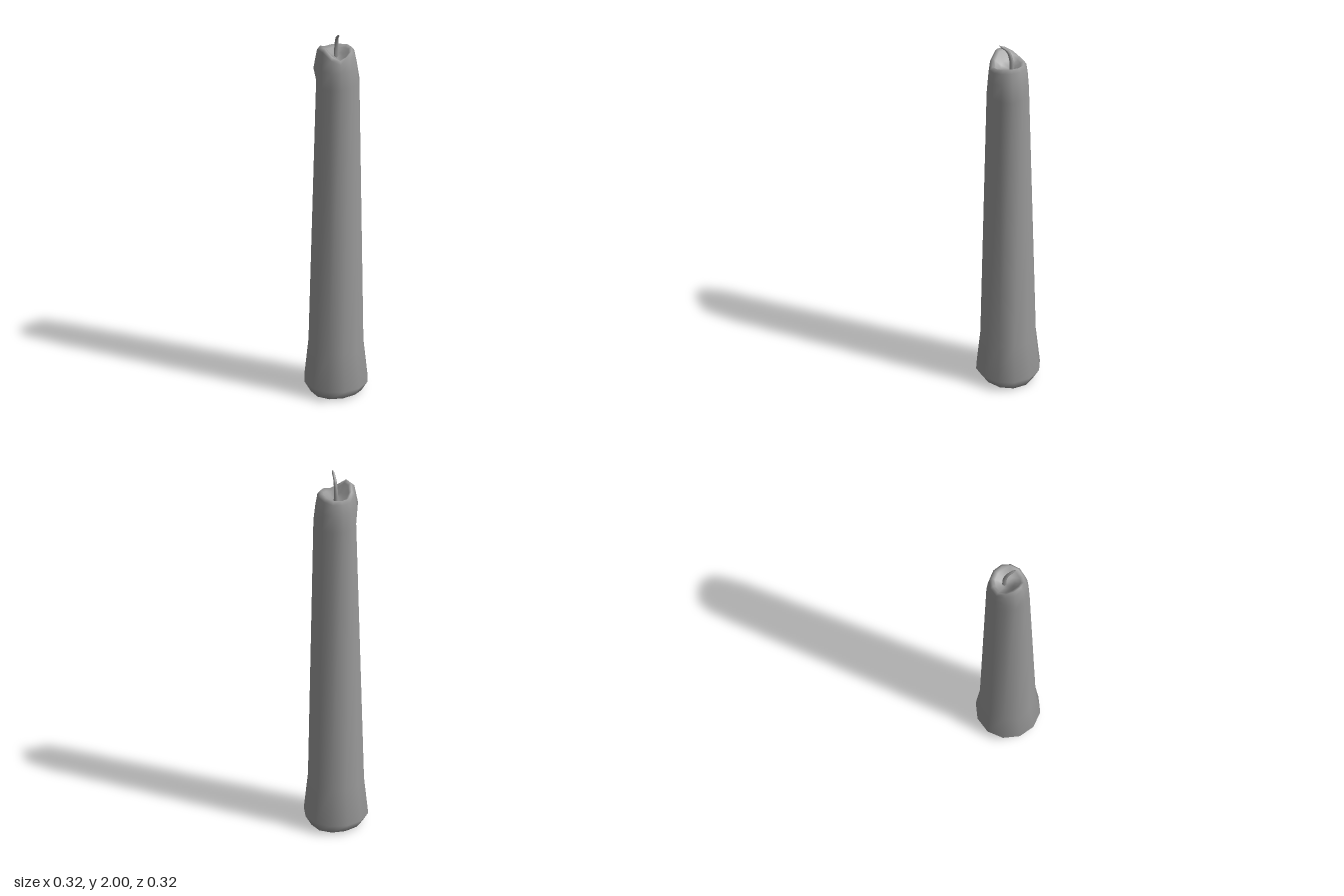
import * as THREE from 'three';

const SIDES = 12;
const START = 0.094; // slight twist of the twelve-sided body

// Rim height around the top: high drip side, low melted notches
const rim = [1.885, 1.872, 1.895, 1.93, 1.93, 1.905, 1.885, 1.885, 1.887, 1.895, 1.9, 1.895];

// Shoulder radius: pinched in below the drip, swollen on the far side
const shoulder = [0.108, 0.108, 0.108, 0.106, 0.098, 0.101, 0.104, 0.106, 0.108, 0.11, 0.12, 0.113];

// One closed surface from rings; each ring gives [radius, height] for side i
function skin(rings, bottom, top) {
  const pos = [...bottom];
  const index = [];
  rings.forEach((ring) => {
    for (let i = 0; i < SIDES; i++) {
      const [r, y] = ring(i);
      const a = START + (i / SIDES) * Math.PI * 2;
      pos.push(r * Math.cos(a), y, r * Math.sin(a));
    }
  });
  pos.push(...top);
  const last = rings.length * SIDES + 1;
  const at = (k, i) => 1 + k * SIDES + (i % SIDES);
  for (let i = 0; i < SIDES; i++) {
    index.push(0, at(0, i), at(0, i + 1));
    for (let k = 0; k < rings.length - 1; k++) {
      const a = at(k, i), b = at(k, i + 1), c = at(k + 1, i), d = at(k + 1, i + 1);
      index.push(a, c, b, b, c, d);
    }
    index.push(at(rings.length - 1, i), last, at(rings.length - 1, i + 1));
  }
  const g = new THREE.BufferGeometry();
  g.setAttribute('position', new THREE.Float32BufferAttribute(pos, 3));
  g.setIndex(index);
  g.computeVertexNormals();
  return g;
}

// Curved wick, tapering to the tip and closed there
function wickGeometry() {
  const path = new THREE.CatmullRomCurve3([
    new THREE.Vector3(-0.011, 1.84, -0.015),
    new THREE.Vector3(-0.008, 1.91, -0.013),
    new THREE.Vector3(0.005, 1.96, -0.002),
    new THREE.Vector3(0.038, 1.998, 0.025),
  ]);
  const steps = 10, around = 6;
  const g = new THREE.TubeGeometry(path, steps, 0.0125, around, false);
  const p = g.attributes.position;
  const v = new THREE.Vector3();
  for (let k = 0; k <= steps; k++) {
    const centre = path.getPointAt(k / steps);
    const scale = k === steps ? 0.02 : 1 - 0.055 * k;
    for (let j = 0; j <= around; j++) {
      const n = k * (around + 1) + j;
      v.fromBufferAttribute(p, n).sub(centre).multiplyScalar(scale).add(centre);
      p.setXYZ(n, v.x, v.y, v.z);
    }
  }
  g.computeVertexNormals();
  return g;
}

export function createModel() {
  const group = new THREE.Group();
  group.name = 'candle';
  const material = new THREE.MeshStandardMaterial({ color: 0x999999 });

  // Drip of wax hanging over the side below the high rim
  const drip = (i) => (i === 4 ? 1 : i === 3 || i === 5 ? 0.2 : 0);
  const body = new THREE.Mesh(skin([
    (i) => [0.13, 0.008 + 0.005 * Math.cos(i)],
    () => [0.161, 0.06],
    () => [0.14, 0.26],
    (i) => [shoulder[i], 1.72],
    (i) => [0.5 * (shoulder[i] + 0.094) + 0.02 * drip(i), 1.81],
    (i) => [0.093 + 0.004 * drip(i), rim[i] - 0.018],
    (i) => [0.079, rim[i]],
    (i) => [0.064, rim[i] - 0.012],
    (i) => [0.035, 1.862 + (rim[i] - 1.89) * 0.3],
  ], [0, 0.002, 0], [-0.01, 1.845, -0.012]), material);
  body.name = 'waxBody';

  const wick = new THREE.Mesh(wickGeometry(), material);
  wick.name = 'wick';

  group.add(body, wick);
  return group;
}
